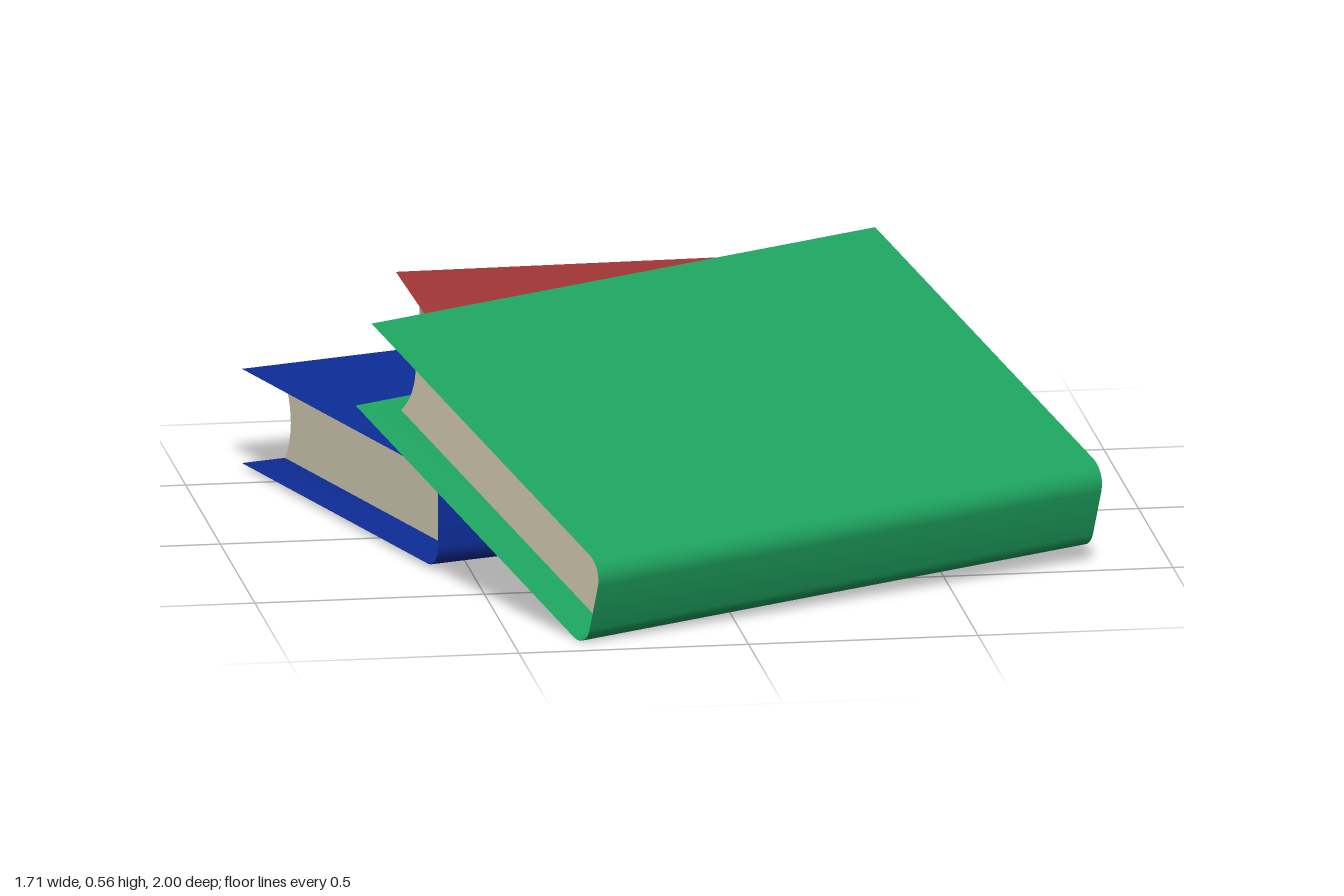
import * as THREE from 'three';
import { toCreasedNormals } from 'three/addons/utils/BufferGeometryUtils.js';

const material = (color) => new THREE.MeshStandardMaterial({ color });
const paper = material(0xece4c8);

// Cross-section (z, y) of a cover: top fore-edge, round the spine, bottom fore-edge
function section(D, H, radius, round, thickness, overhang) {
  const points = [[-D / 2 + overhang, H - thickness]];
  for (const side of [1, -1]) {
    for (let k = 0; k <= 6; k++) {
      const a = (side > 0 ? 1 - k / 6 : -k / 6) * Math.PI / 2;
      const cy = side > 0 ? H - round : round;
      points.push([D / 2 - round + radius * Math.cos(a), cy + radius * Math.sin(a)]);
    }
  }
  points.push([-D / 2 + overhang, thickness]);
  return points;
}

// Hard cover whose edges bevel inwards to meet the pages
function coverGeometry(outer, inner, L, inset) {
  const rows = [[inner, -L / 2 + inset], [outer, -L / 2], [outer, L / 2], [inner, L / 2 - inset]];
  const n = outer.length;
  const positions = [];
  const index = [];
  for (const [profile, x] of rows) for (const [z, y] of profile) positions.push(x, y, z);
  const quad = (a, b, c, d) => index.push(a, b, c, a, c, d);
  for (let j = 0; j < 3; j++) {
    for (let k = 0; k < n - 1; k++) {
      const a = j * n + k;
      quad(a, a + 1, a + n + 1, a + n);
    }
  }
  const e = n - 1;
  quad(n, 2 * n, 3 * n, 0);
  quad(2 * n + e, n + e, e, 3 * n + e);
  const geometry = new THREE.BufferGeometry();
  geometry.setAttribute('position', new THREE.Float32BufferAttribute(positions, 3));
  geometry.setIndex(index);
  return toCreasedNormals(geometry, 0.5);
}

// Page block with a hollow fore-edge
function pagesGeometry(inner, L, inset, hollow) {
  const shape = new THREE.Shape();
  inner.forEach(([z, y], i) => (i ? shape.lineTo(-z, y) : shape.moveTo(-z, y)));
  const [z, y] = inner[0];
  shape.quadraticCurveTo(-z - 2 * hollow, (y + inner[inner.length - 1][1]) / 2, -z, y);
  const depth = L - 2 * inset;
  const geometry = new THREE.ExtrudeGeometry(shape, { depth, bevelEnabled: false, curveSegments: 10 });
  geometry.translate(0, 0, -depth / 2).rotateY(Math.PI / 2);
  return toCreasedNormals(geometry, 0.5);
}

// Book lying flat, spine towards +z
function book(name, color, L, D, H, s) {
  const round = 0.05 * s, thickness = 0.02 * s, inset = 0.07 * s;
  const outer = section(D, H, round, round, 0, 0);
  const inner = section(D, H, round - thickness, round, thickness, inset);
  const group = new THREE.Group();
  group.name = name;
  const cover = new THREE.Mesh(coverGeometry(outer, inner, L, inset), material(color));
  cover.name = 'cover';
  const pages = new THREE.Mesh(pagesGeometry(inner, L, inset, 0.028 * s), paper);
  pages.name = 'pages';
  group.add(cover, pages);
  return group;
}

export function createModel() {
  const model = new THREE.Group();
  model.name = 'bookPile';

  // Large book at the bottom
  const blue = book('bottomBook', 0x0d2d98, 1.275, 0.984, 0.21, 1);
  blue.position.set(-0.105, 0.03, -0.345);
  blue.rotation.y = 0.294;

  // Pale underside of the bottom book
  const underside = new THREE.Mesh(new THREE.PlaneGeometry(1.275, 0.934).rotateX(Math.PI / 2), paper);
  underside.name = 'underside';
  underside.position.set(0, -0.003, -0.025);
  blue.add(underside);

  // Small book on top of it
  const red = book('smallBook', 0xa33636, 0.74, 0.568, 0.126, 0.6);
  red.position.set(-0.105, 0.244, -0.627);
  red.rotation.y = 0.024;

  // Large book leaning on the pile
  const green = book('leaningBook', 0x1da05d, 1.28, 0.98, 0.213, 1);
  const x = new THREE.Vector3(0.917, 0.027, -0.398).normalize();
  const z = new THREE.Vector3(0.375, -0.345, 0.86);
  const y = z.clone().cross(x).normalize();
  z.crossVectors(x, y);
  green.quaternion.setFromRotationMatrix(new THREE.Matrix4().makeBasis(x, y, z));
  green.position.set(0.054, 0.193, 0.264);

  model.add(blue, red, green);
  return model;
}
